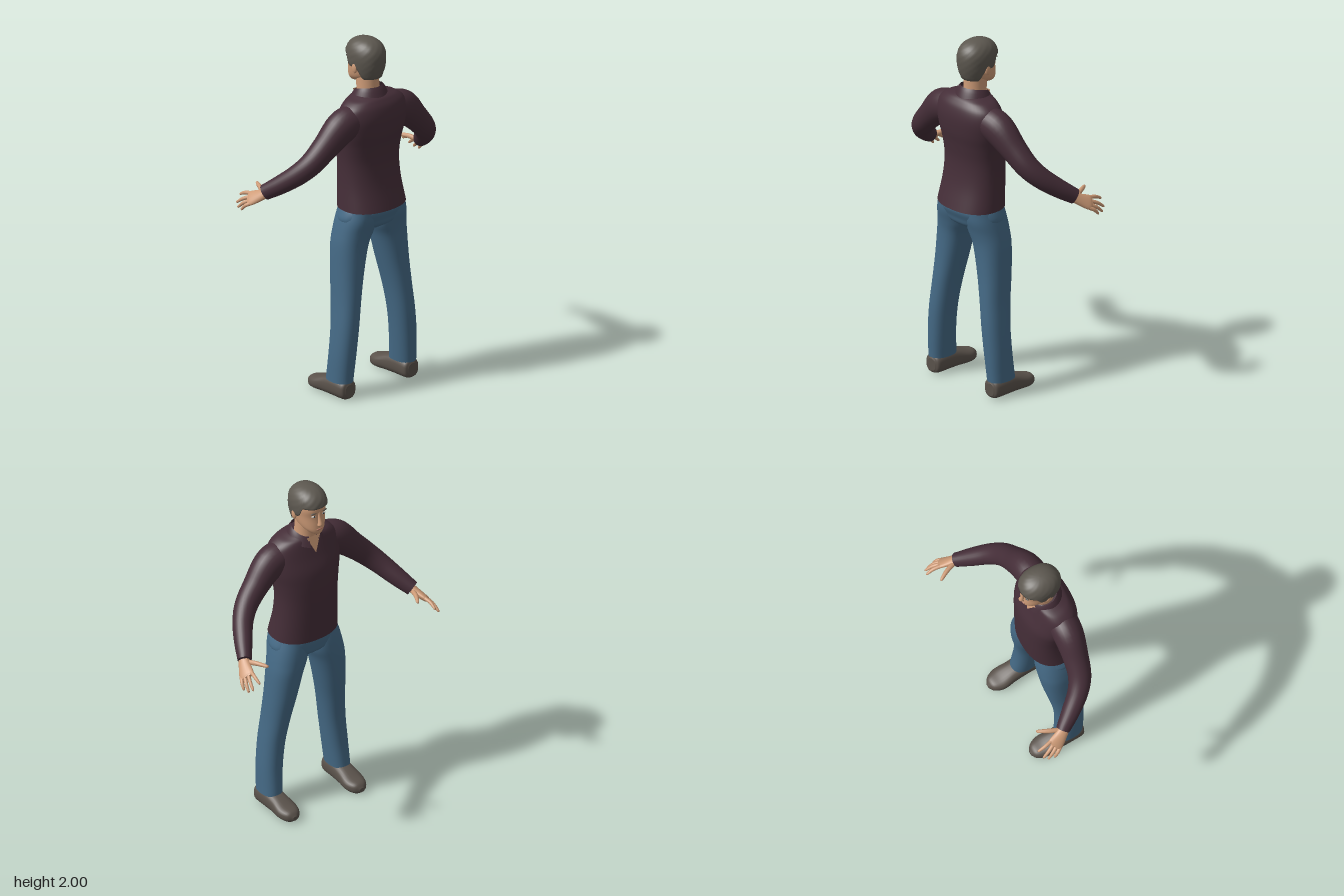
import * as THREE from 'three';

const V = (x, y, z) => new THREE.Vector3(x, y, z);
const X = V(1, 0, 0), Y = V(0, 1, 0);
const mat = (name, color, side = THREE.FrontSide) => {
  const m = new THREE.MeshStandardMaterial({ color, side });
  m.name = name;
  return m;
};

// Grid surface from point(u index, ring index); rings wrap round when closed
function surface(seg, rings, point, { wrap = true, caps = true } = {}) {
  const pos = [], idx = [], cols = wrap ? seg : seg + 1;
  const add = p => pos.push(p.x, p.y, p.z) / 3 - 1;
  for (let i = 0; i <= rings; i++) for (let j = 0; j < cols; j++) add(point(j / seg, i / rings));
  for (let i = 0; i < rings; i++) {
    for (let j = 0; j < seg; j++) {
      const a = i * cols + j, b = i * cols + (j + 1) % cols;
      idx.push(a, a + cols, b, b, a + cols, b + cols);
    }
  }
  if (caps) {
    for (const end of [0, 1]) {
      const ring = [], mid = V(0, 0, 0);
      for (let j = 0; j < seg; j++) {
        const p = point(j / seg, end);
        mid.addScaledVector(p, 1 / seg);
        ring.push(add(p));
      }
      const c = add(mid);
      ring.forEach((a, j) => {
        const b = ring[(j + 1) % seg];
        idx.push(c, end ? b : a, end ? a : b);
      });
    }
  }
  const g = new THREE.BufferGeometry();
  g.setAttribute('position', new THREE.Float32BufferAttribute(pos, 3));
  g.setIndex(idx);
  g.computeVertexNormals();
  return g;
}

const spow = (v, e) => Math.sign(v) * Math.abs(v) ** e;

// Smooth loft through rows [x, y, z, radiusA, radiusB]; dir fixes the ring plane
function loft(rows, { ref = X, dir = null, p = 2, seg = 28, steps = 5 } = {}) {
  const path = new THREE.CatmullRomCurve3(rows.map(r => V(r[0], r[1], r[2])), false, 'catmullrom');
  const size = new THREE.CatmullRomCurve3(rows.map(r => V(r[3], r[4], 0)), false, 'catmullrom');
  return surface(seg, (rows.length - 1) * steps, (u, v) => {
    const T = dir || path.getTangent(v);
    const B = ref.clone().cross(T).normalize(), S = T.clone().cross(B);
    const r = size.getPoint(v), a = u * Math.PI * 2;
    const q = path.getPoint(v)
      .addScaledVector(S, r.x * spow(Math.cos(a), 2 / p))
      .addScaledVector(B, r.y * spow(Math.sin(a), 2 / p));
    q.y = Math.max(q.y, 0);
    return q;
  });
}

// Upright body section rows [y, x0, x1, z0, z1]
const upright = (rows, p = 2.3, seg = 36) => loft(
  rows.map(([y, x0, x1, z0, z1]) => [(x0 + x1) / 2, y, (z0 + z1) / 2, (x1 - x0) / 2, (z1 - z0) / 2]),
  { dir: Y, p, seg });
const centred = (rows, p, seg) => upright(rows.map(([y, w, z0, z1]) => [y, -w, w, z0, z1]), p, seg);

function mirrored(g) {
  const m = g.clone().scale(-1, 1, 1), ix = m.index.array;
  for (let i = 0; i < ix.length; i += 3) [ix[i], ix[i + 1]] = [ix[i + 1], ix[i]];
  m.computeVertexNormals();
  return m;
}

export function createModel() {
  const root = new THREE.Group();
  root.name = 'standingMan';
  const skin = mat('skin', 0xcf9c78, THREE.DoubleSide), shirt = mat('plumShirt', 0x452e38, THREE.DoubleSide);
  const denim = mat('denim', 0x456a86), hairMat = mat('hair', 0x5d5850, THREE.DoubleSide);
  const leather = mat('shoeLeather', 0x5a524b), white = mat('eyeWhite', 0xd8d2cb);
  const dark = mat('iris', 0x2f3a42), lip = mat('lips', 0xb07562);
  const add = (name, g, m) => {
    const mesh = new THREE.Mesh(g, m);
    mesh.name = name;
    root.add(mesh);
  };
  const pair = (name, g, m) => {
    add('left' + name, g, m);
    add('right' + name, mirrored(g), m);
  };

  // Shirt body
  add('shirtBody', centred([
    [1.06, 0.195, -0.03, 0.272], [1.2, 0.183, -0.035, 0.235], [1.32, 0.181, -0.036, 0.222],
    [1.42, 0.192, -0.034, 0.232], [1.5, 0.208, -0.025, 0.246], [1.58, 0.215, 0, 0.25],
    [1.64, 0.2, 0.018, 0.238], [1.675, 0.16, 0.028, 0.218], [1.692, 0.115, 0.035, 0.2],
    [1.705, 0.078, 0.045, 0.17]], 2.3, 44), shirt);

  // Open collar, dipping towards the front
  add('collar', surface(40, 4, (u, v) => {
    const a = -Math.PI / 2 + 0.32 + u * (Math.PI * 2 - 0.64);
    const front = ((1 - Math.sin(a)) / 2) ** 2;
    const top = 1.742 - 0.045 * front, low = 1.69 - 0.045 * front;
    return V(Math.cos(a) * (0.076 + 0.03 * v), top + (low - top) * v ** 1.3,
      0.1 + Math.sin(a) * (0.072 + 0.03 * v));
  }, { wrap: false, caps: false }), shirt);

  // Skin in the open neckline
  const vee = new THREE.BufferGeometry();
  vee.setAttribute('position', new THREE.Float32BufferAttribute(
    [0, 1.605, 0, -0.045, 1.7, 0.024, 0.045, 1.7, 0.024], 3));
  vee.computeVertexNormals();
  add('neckOpening', vee, skin);

  // Sleeves
  pair('Sleeve', loft([
    [0.13, 1.585, 0.13, 0.085, 0.085], [0.22, 1.553, 0.125, 0.092, 0.083], [0.32, 1.463, 0.11, 0.073, 0.07],
    [0.4, 1.383, 0.088, 0.064, 0.063], [0.46, 1.318, 0.04, 0.058, 0.056],
    [0.515, 1.252, -0.038, 0.051, 0.049], [0.56, 1.2, -0.11, 0.043, 0.038]], { ref: Y }), shirt);

  // Hands: palm, four fingers and a thumb
  const W = V(0.615, -0.615, 0.49);
  pair('Palm', loft([
    [0.55, 1.21, -0.085, 0.028, 0.024], [0.575, 1.18, -0.13, 0.036, 0.022],
    [0.597, 1.157, -0.175, 0.045, 0.017], [0.605, 1.15, -0.192, 0.038, 0.011]], { ref: W, seg: 20 }), skin);
  const tips = [[0.586, 1.147, -0.28], [0.621, 1.112, -0.268], [0.634, 1.094, -0.245], [0.64, 1.092, -0.21]];
  const finger = (a, b, r) => {
    const m = a.clone().lerp(b, 0.5).add(V(0.004, 0.006, 0));
    const e = a.clone().lerp(b, 0.93);
    return loft([[...a, r, r], [...m, r * 0.9, r * 0.9], [...e, r * 0.65, r * 0.6], [...b, r * 0.2, r * 0.2]],
      { ref: W, seg: 10, steps: 3 });
  };
  tips.forEach((t, i) => pair('Finger' + (i + 1),
    finger(V(0.599, 1.155, -0.178).addScaledVector(W, -0.033 + i * 0.022), V(...t), 0.011), skin));
  pair('Thumb', finger(V(0.553, 1.192, -0.125), V(0.5, 1.203, -0.24), 0.014), skin);

  // Jeans
  add('jeansHips', centred([
    [0.925, 0.07, 0.05, 0.16], [0.96, 0.17, 0.008, 0.215], [1.0, 0.207, -0.003, 0.232],
    [1.05, 0.198, -0.008, 0.248], [1.1, 0.175, 0.0, 0.225]]), denim);
  pair('JeansLeg', upright([
    [0.095, 0.168, 0.285, 0.035, 0.2], [0.25, 0.153, 0.28, 0.05, 0.21], [0.4, 0.136, 0.267, 0.05, 0.214],
    [0.55, 0.113, 0.252, 0.032, 0.208], [0.7, 0.08, 0.243, 0.01, 0.2], [0.85, 0.043, 0.234, -0.004, 0.2],
    [0.93, 0.012, 0.222, -0.005, 0.212], [1.0, 0.005, 0.207, 0, 0.23], [1.06, 0.01, 0.19, 0.01, 0.235]]), denim);

  // Shoes, lofted heel to toe
  pair('Shoe', loft([
    [0.226, 0.052, 0.2, 0.03, 0.035], [0.226, 0.055, 0.182, 0.052, 0.053], [0.226, 0.058, 0.1, 0.056, 0.057],
    [0.224, 0.051, 0.03, 0.057, 0.05], [0.223, 0.039, -0.04, 0.062, 0.038],
    [0.223, 0.034, -0.09, 0.044, 0.031], [0.223, 0.03, -0.113, 0.014, 0.012]],
  { dir: V(0, 0, -1), p: 2.5 }), leather);

  // Neck and head
  add('neck', centred([[1.63, 0.07, 0.03, 0.17], [1.7, 0.062, 0.03, 0.158],
    [1.76, 0.06, 0.026, 0.155], [1.83, 0.06, 0.02, 0.155]], 2), skin);
  add('head', centred([
    [1.738, 0.014, -0.015, 0.015], [1.746, 0.032, -0.029, 0.045], [1.77, 0.058, -0.033, 0.1],
    [1.8, 0.072, -0.031, 0.145], [1.85, 0.081, -0.026, 0.172], [1.9, 0.085, -0.032, 0.182],
    [1.95, 0.072, -0.02, 0.17], [1.98, 0.04, 0.02, 0.13]], 2.2), skin);
  add('nose', loft([
    [0, 1.797, -0.027, 0.012, 0.008], [0, 1.805, -0.035, 0.016, 0.014], [0, 1.815, -0.036, 0.013, 0.014],
    [0, 1.845, -0.029, 0.008, 0.01], [0, 1.88, -0.026, 0.007, 0.006]], { dir: Y, seg: 16, steps: 3 }), skin);

  const blob = (x, y, z, sx, sy, sz) => new THREE.SphereGeometry(1, 18, 12).scale(sx, sy, sz).translate(x, y, z);
  pair('Ear', blob(0.086, 1.848, 0.082, 0.011, 0.031, 0.018), skin);
  pair('Eye', blob(0.032, 1.862, -0.02, 0.014, 0.006, 0.006), white);
  pair('Iris', blob(0.031, 1.862, -0.0245, 0.005, 0.0052, 0.003), dark);
  pair('Eyebrow', blob(0.033, 1.882, -0.024, 0.02, 0.0045, 0.006).rotateZ(0), hairMat);
  add('lips', blob(0, 1.776, -0.031, 0.022, 0.006, 0.006), lip);

  // Hair cap with a fringe, sideburns and a lower nape
  const hairline = s => 1.914 - 0.062 * THREE.MathUtils.smoothstep(s, -0.55, -0.25)
    - 0.064 * THREE.MathUtils.smoothstep(s, 0.1, 0.55);
  add('hair', surface(56, 20, (u, v) => {
    const a = u * Math.PI * 2, c = Math.cos(a), s = Math.sin(a);
    const w = Math.max(0, (v - 0.05) / 0.95);
    const y = THREE.MathUtils.lerp(hairline(s), 2, Math.sin(w * Math.PI / 2));
    const q = (y - 1.9) / 0.1;
    let k = q > 0 ? Math.max(0, 1 - q ** 2.3) ** (1 / 2.3) : 1 - 0.16 * q * q;
    k *= v === 0 ? 0.84 : 1 + 0.012 * Math.sin(a * 9 + y * 60) * Math.sin(y * 110 + a * 4);
    return V(0.095 * k * spow(c, 0.92), y, 0.076 + 0.119 * k * spow(s, 0.92));
  }, { caps: false }), hairMat);

  return root;
}
